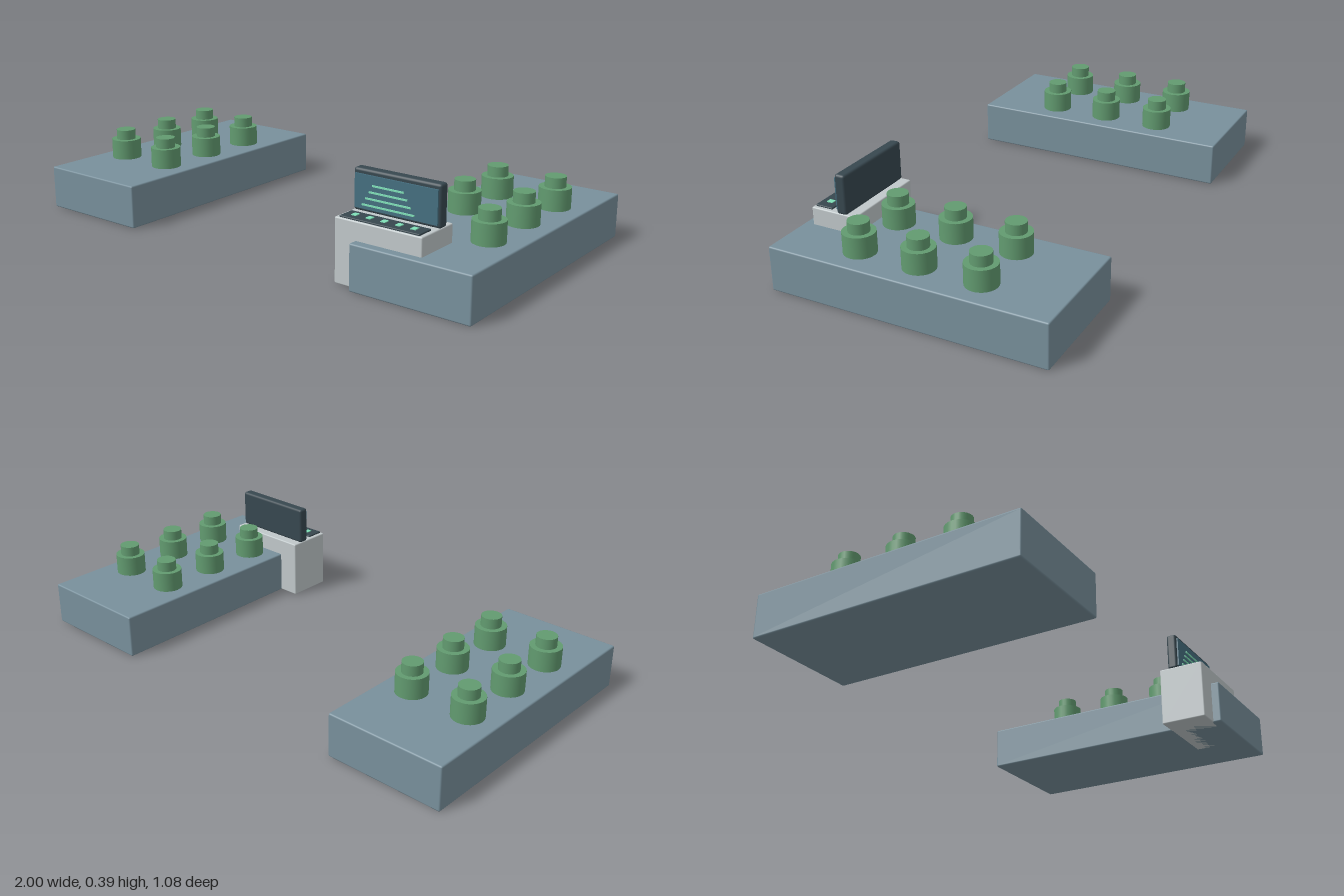
import * as THREE from 'three';
import { RoundedBoxGeometry } from 'three/addons/geometries/RoundedBoxGeometry.js';

const paint = (color) => new THREE.MeshStandardMaterial({ color });
const mats = {
  bed: paint(0x78909c), plant: paint(0x629b70), console: paint(0xc0c8ca),
  dark: paint(0x37474f), screen: paint(0x456f80), glow: paint(0x80e0b8),
};

// Adds a mesh to a parent, positioned by its centre
function add(parent, name, geometry, material, x, y, z) {
  const mesh = new THREE.Mesh(geometry, material);
  mesh.name = name;
  mesh.position.set(x, y, z);
  parent.add(mesh);
  return mesh;
}

// Box given by its extents on each axis, with an optional rounded edge
function block(parent, name, material, [x0, x1], [y0, y1], [z0, z1], r = 0) {
  const size = [x1 - x0, y1 - y0, z1 - z0];
  const geometry = r ? new RoundedBoxGeometry(...size, 2, r) : new THREE.BoxGeometry(...size);
  return add(parent, name, geometry, material, (x0 + x1) / 2, (y0 + y1) / 2, (z0 + z1) / 2);
}

// Raised bed with two rows of three stepped round pods
function createBed(side) {
  const bed = new THREE.Group();
  bed.name = side > 0 ? 'leftBed' : 'rightBed';
  const center = side * 0.763;
  block(bed, 'bedSlab', mats.bed, [center - 0.237, center + 0.237], [0, 0.172], [-0.54, 0.54], 0.006);
  const lower = new THREE.CylinderGeometry(0.06, 0.06, 0.082, 24);
  const upper = new THREE.CylinderGeometry(0.039, 0.039, 0.042, 24);
  for (const dx of [-0.119, 0.119]) {
    for (const z of [-0.238, 0, 0.238]) {
      const pod = new THREE.Group();
      pod.name = 'pod';
      pod.position.set(center + dx, 0, z);
      add(pod, 'podBase', lower, mats.plant, 0, 0.211, 0);
      add(pod, 'podCap', upper, mats.plant, 0, 0.271, 0);
      bed.add(pod);
    }
  }
  return bed;
}

// Control console with an upright screen and a button panel
function createConsole() {
  const desk = new THREE.Group();
  desk.name = 'controlConsole';
  block(desk, 'consoleBase', mats.console, [0.44, 0.792], [0, 0.24], [0.319, 0.506], 0.005);
  block(desk, 'screenFrame', mats.dark, [0.44, 0.792], [0.237, 0.39], [0.356, 0.398], 0.01);
  block(desk, 'screen', mats.screen, [0.449, 0.783], [0.25, 0.372], [0.394, 0.404]);
  // Glowing readout lines, each wider than the one above
  for (let i = 0; i < 4; i++) {
    const y = 0.338 - i * 0.024;
    block(desk, 'readoutLine', mats.glow, [0.524 - i * 0.014, 0.652 + i * 0.014],
      [y - 0.003, y + 0.003], [0.402, 0.408]);
  }
  block(desk, 'buttonPanel', mats.dark, [0.455, 0.777], [0.238, 0.246], [0.428, 0.499], 0.003);
  for (let i = 0; i < 5; i++) {
    const x = 0.497 + i * 0.0595;
    block(desk, 'button', mats.glow, [x - 0.01, x + 0.01], [0.243, 0.249], [0.451, 0.475]);
  }
  return desk;
}

export function createModel() {
  const model = new THREE.Group();
  model.name = 'growingBeds';
  model.add(createBed(-1), createBed(1), createConsole());
  return model;
}
